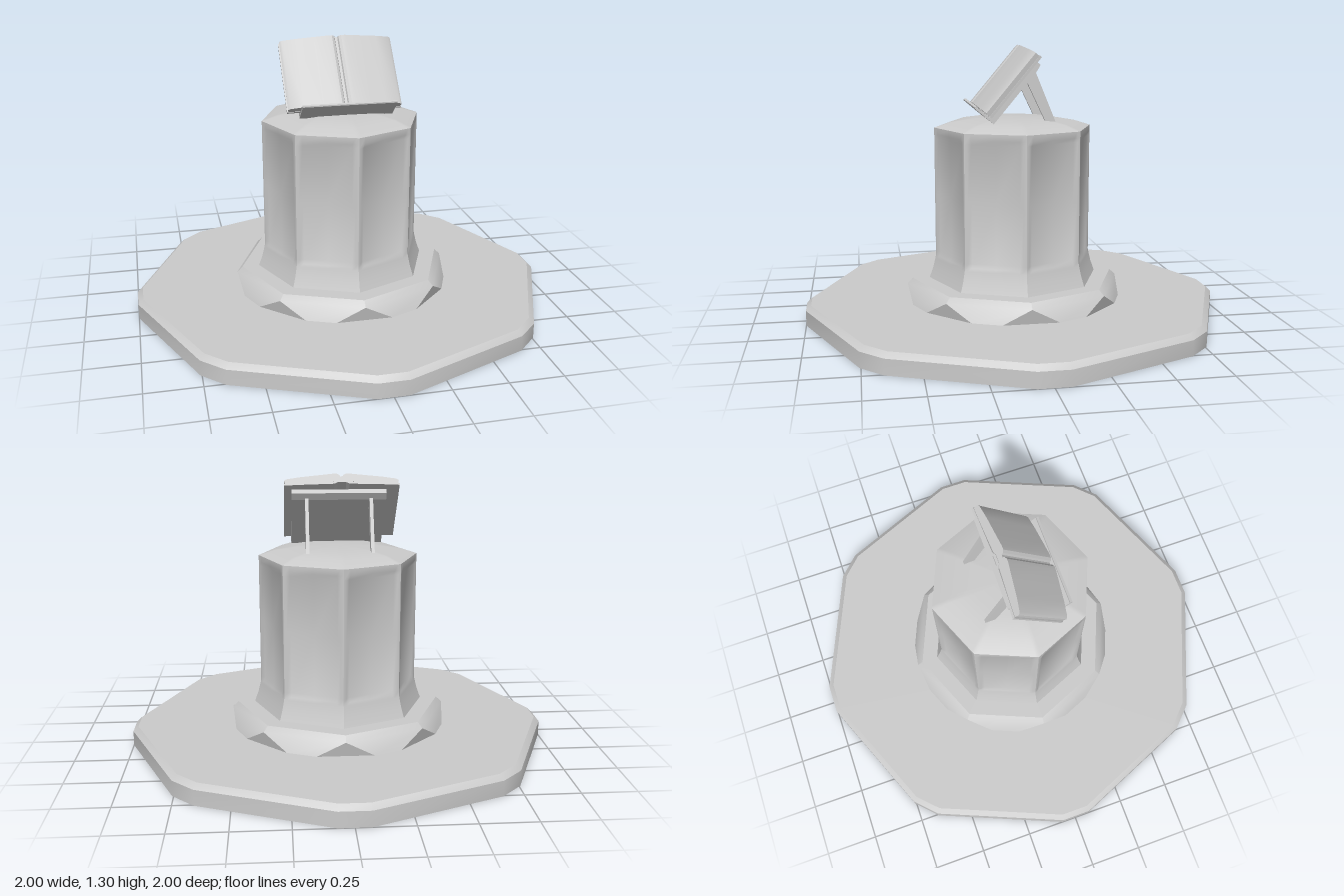
import * as THREE from 'three';
import { toCreasedNormals } from 'three/addons/utils/BufferGeometryUtils.js';

const material = new THREE.MeshStandardMaterial({ color: 0xcccccc, side: THREE.DoubleSide });

function addMesh(parent, name, geometry) {
  const mesh = new THREE.Mesh(geometry, material);
  mesh.name = name;
  parent.add(mesh);
  return mesh;
}

// Skin a stack of closed rings, each an array of Vector3
function skin(rings, crease) {
  const n = rings[0].length;
  const index = [];
  for (let r = 0; r < rings.length - 1; r++) {
    for (let i = 0; i < n; i++) {
      const j = (i + 1) % n;
      const a = r * n + i, b = r * n + j, c = b + n, d = a + n;
      index.push(a, b, c, a, c, d);
    }
  }
  const geometry = new THREE.BufferGeometry().setFromPoints(rings.flat());
  geometry.setIndex(index);
  return toCreasedNormals(geometry, crease);
}

// Octagon with cut corners: reach of each cut, its half width, and height
function cutOctagon([reach, half, y]) {
  const ring = [];
  for (let k = 0; k < 8; k++) {
    for (const s of [-half, half]) {
      ring.push(new THREE.Vector3(s, y, reach).applyAxisAngle(THREE.Object3D.DEFAULT_UP, k * Math.PI / 4));
    }
  }
  return ring;
}

// Octagon whose sides carry a panel sunk by the given depth
function panelledOctagon([radius, y, depth]) {
  const ring = [];
  const corner = (k) => new THREE.Vector3(Math.sin(k * Math.PI / 4), 0, Math.cos(k * Math.PI / 4));
  for (let k = 0; k < 8; k++) {
    const a = corner(k), b = corner(k + 1), inward = corner(k + 0.5);
    for (const u of [0, 0.05, 0.11, 0.5, 0.89, 0.95]) {
      const p = a.clone().lerp(b, u).multiplyScalar(radius);
      if (u > 0.1 && u < 0.9) p.addScaledVector(inward, -depth);
      p.y = y;
      ring.push(p);
    }
  }
  return ring;
}

// Mirror a half outline (x >= 0, centre line to centre line) and extrude it upwards
function mirroredSlab(half, from, to) {
  const points = [...half, ...half.slice(1, -1).reverse().map(([x, n]) => [-x, n])];
  const shape = new THREE.Shape(points.map(([x, n]) => new THREE.Vector2(x, n)));
  const geometry = new THREE.ExtrudeGeometry(shape, { depth: to - from, bevelEnabled: false });
  geometry.rotateX(Math.PI / 2).translate(0, to, 0);
  return toCreasedNormals(geometry, 0.5);
}

// Outline in z and y, extruded to a width centred on x
function sideProfile(points, width) {
  const shape = new THREE.Shape(points.map(([z, y]) => new THREE.Vector2(z, y)));
  const geometry = new THREE.ExtrudeGeometry(shape, { depth: width, bevelEnabled: false });
  return geometry.translate(0, 0, -width / 2).rotateY(-Math.PI / 2);
}

export function createModel() {
  const model = new THREE.Group();
  model.name = 'bookOnPedestal';

  // Broad floor plate, open below, with an opening under the pedestal
  const plate = [
    [1, 0.07, 0], [1, 0.07, 0.072], [0.975, 0.066, 0.095], [0.5, 0.13, 0.095],
  ];
  addMesh(model, 'floorPlate', skin(plate.map(cutOctagon), 0.5));

  // Faceted collar: cut corners at the foot run up to sharp ones
  const collar = [
    [0.5, 0.13, 0.095], [0.517, 0.001, 0.165], [0.49, 0.001, 0.19], [0.4, 0.001, 0.19],
  ];
  addMesh(model, 'collar', skin(collar.map(cutOctagon), 0.5));

  // Hollow column with flared foot, sunk side panels and a low domed top
  const column = [
    [0.41, 0.19, 0], [0.392, 0.24, 0], [0.381, 0.285, 0], [0.378, 0.3, 0], [0.378, 0.32, 0.009],
    [0.378, 0.6, 0.009], [0.378, 0.87, 0.009], [0.378, 0.89, 0], [0.378, 0.92, 0],
    [0.3, 0.945, 0], [0.19, 0.962, 0], [0.001, 0.968, 0],
  ];
  addMesh(model, 'column', skin(column.map(panelledOctagon), 0.7));

  // Tilted stand: y runs up the board, z points out of the pages
  const stand = new THREE.Group();
  stand.name = 'bookStand';
  stand.position.set(0, 0.955, 0.125);
  stand.rotation.x = -40 * Math.PI / 180;
  model.add(stand);

  const board = [[0, 0], [0.03, 0], [0.03, 0.343], [0.006, 0.343], [0, 0.305]];
  addMesh(stand, 'backBoard', sideProfile(board, 0.44));
  const ledge = [[0, 0], [0.114, 0], [0.118, 0.004], [0.112, 0.014], [0.106, 0.01], [0, 0.01]];
  addMesh(stand, 'ledge', sideProfile(ledge, 0.44));

  // Open book, lying slightly off centre, its halves falling away from the spine
  const book = new THREE.Group();
  book.name = 'openBook';
  book.position.x = -0.013;
  stand.add(book);
  const cover = [
    [0, 0.05], [0.02, 0.05], [0.035, 0.04], [0.2, 0.034], [0.267, 0.03], [0.268, 0.042],
    [0.04, 0.052], [0.022, 0.064], [0, 0.064],
  ];
  addMesh(book, 'cover', mirroredSlab(cover, 0.014, 0.37));
  const pages = [
    [0, 0.06], [0.03, 0.056], [0.262, 0.041], [0.266, 0.064], [0.255, 0.073], [0.19, 0.086],
    [0.11, 0.097], [0.04, 0.107], [0.022, 0.107], [0.01, 0.1], [0.006, 0.09], [0, 0.09],
  ];
  addMesh(book, 'pages', mirroredSlab(pages, 0.016, 0.367));

  // Rear props
  const prop = [[-0.03, 1.16], [-0.072, 1.205], [-0.175, 0.955], [-0.128, 0.955]];
  for (const side of [-1, 1]) {
    addMesh(model, side > 0 ? 'leftProp' : 'rightProp', sideProfile(prop, 0.016)).position.x = side * 0.15;
  }
  return model;
}
